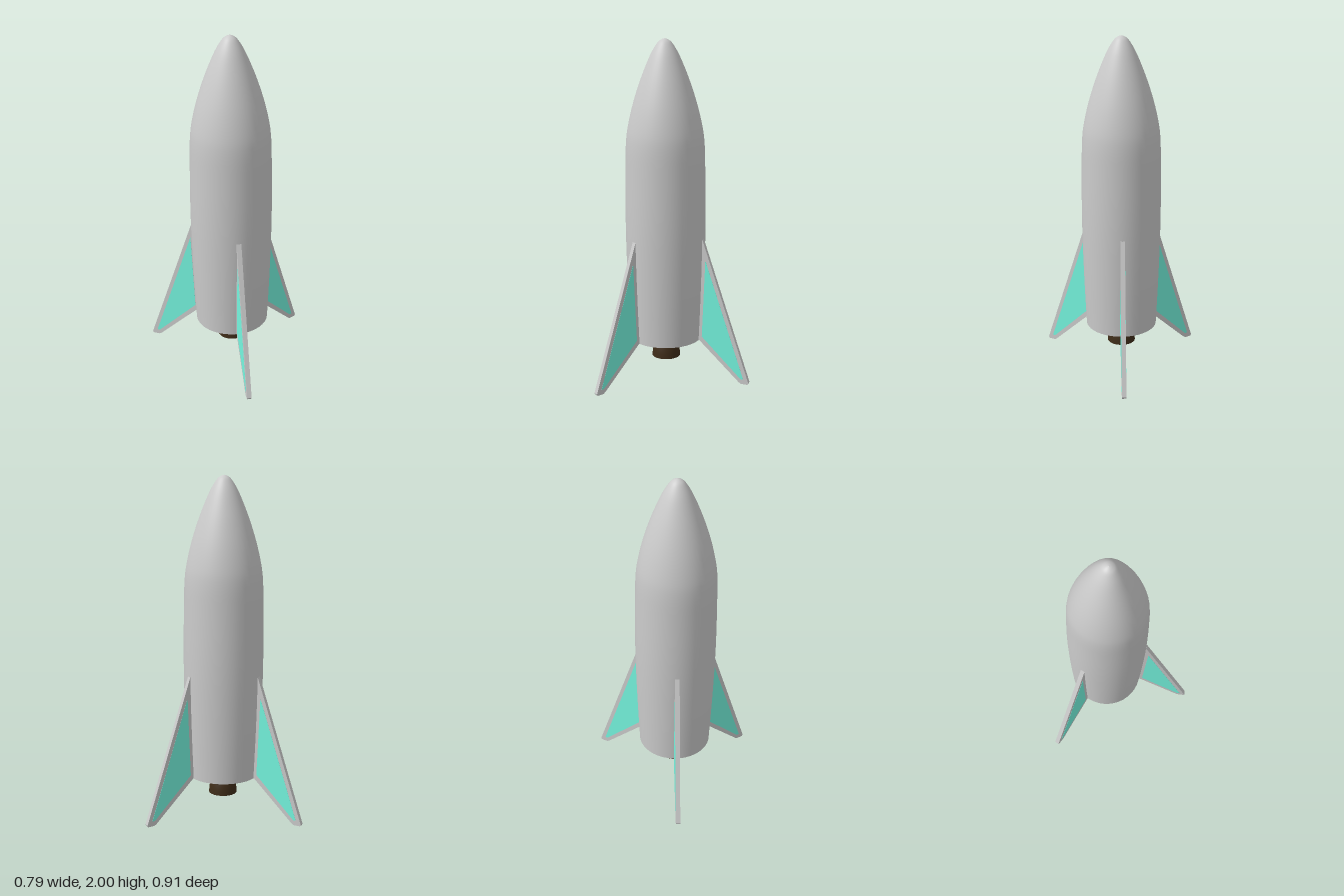
import * as THREE from 'three';

const AXIS_X = -0.126;
const FIN_THICKNESS = 0.026;

const material = (color) => new THREE.MeshStandardMaterial({ color });
const points = (list) => list.map(([x, y]) => new THREE.Vector2(x, y));

function addMesh(parent, name, geometry, mat) {
  const mesh = new THREE.Mesh(geometry, mat);
  mesh.name = name;
  parent.add(mesh);
  return mesh;
}

// Flat plate with its outline in (radius, height), centred on its thickness
function plate(outline, depth) {
  const geometry = new THREE.ExtrudeGeometry(new THREE.Shape(points(outline)), { depth, bevelEnabled: false });
  return geometry.translate(0, 0, -depth / 2);
}

// Downward-facing round cap
function cap(radius, y) {
  return new THREE.CircleGeometry(radius, 40).rotateX(Math.PI / 2).translate(0, y, 0);
}

export function createModel() {
  const rocket = new THREE.Group();
  rocket.name = 'rocket';
  const ship = new THREE.Group();
  ship.name = 'ship';
  ship.position.x = AXIS_X;
  rocket.add(ship);

  const grey = material(0xcccccc);
  const teal = material(0x76f7e0);
  const steel = material(0x343c3e);
  const brown = material(0x3e2c18);

  // Hull: gently bulging barrel running into a pointed nose
  const hullCurve = new THREE.SplineCurve(points([
    [0.211, 0.24], [0.222, 0.5], [0.23, 0.78], [0.232, 1.0], [0.229, 1.25], [0.225, 1.4],
    [0.213, 1.5], [0.183, 1.63], [0.138, 1.77], [0.085, 1.9], [0.045, 1.97], [0.02, 1.993], [0, 2.0],
  ]));
  const hullProfile = hullCurve.getPoints(48);
  hullProfile.forEach((p) => { p.x = Math.max(p.x, 0); });
  addMesh(ship, 'hull', new THREE.LatheGeometry(hullProfile, 40), grey);
  addMesh(ship, 'hullBase', cap(0.211, 0.24), grey);

  // Engine bell: dark collar above a brown skirt
  addMesh(ship, 'engineCollar', new THREE.LatheGeometry(points([
    [0.071, 0.19], [0.063, 0.215], [0.048, 0.24], [0.035, 0.255],
  ]), 40), steel);
  addMesh(ship, 'engineBell', new THREE.LatheGeometry(points([
    [0.083, 0.117], [0.081, 0.145], [0.077, 0.17], [0.071, 0.19],
  ]), 40), brown);
  addMesh(ship, 'engineBellBase', cap(0.083, 0.117), brown);

  // Three fins, each a grey plate with a coloured panel on both faces
  const finGeometry = plate([
    [0.19, 0.25], [0.215, 0.24], [0.462, 0.008], [0.475, 0], [0.515, 0], [0.52, 0.01],
    [0.231, 0.86], [0.19, 0.86],
  ], FIN_THICKNESS);
  const panelGeometry = plate([
    [0.23, 0.265], [0.472, 0.03], [0.488, 0.03], [0.25, 0.735],
  ], FIN_THICKNESS + 0.002);
  for (let i = 0; i < 3; i++) {
    const fin = new THREE.Group();
    fin.name = `fin${i + 1}`;
    fin.rotation.y = (i * Math.PI * 2) / 3;
    addMesh(fin, 'finFrame', finGeometry, grey);
    addMesh(fin, 'finPanel', panelGeometry, teal);
    ship.add(fin);
  }

  return rocket;
}
